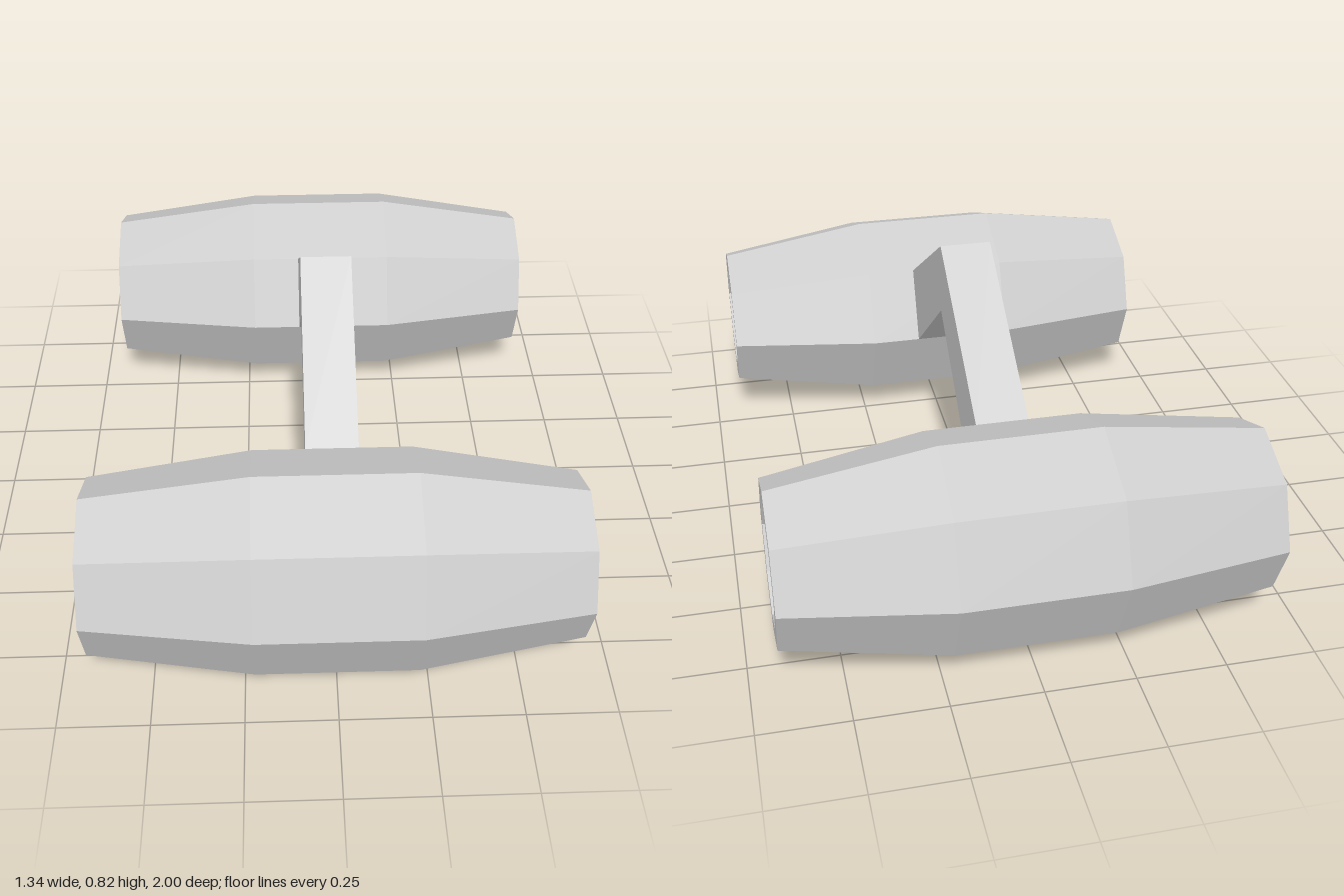
import * as THREE from 'three';

export function createModel() {
  const model = new THREE.Group();
  const material = new THREE.MeshStandardMaterial({ color: 0xcccccc, flatShading: true });

  // Eight-sided barrel with a recess in each end: [radius, position along x]
  const profile = [
    [0, -0.22], [0.175, -0.22], [0.175, -0.67], [0.237, -0.67],
    [0.3, -0.22], [0.3, 0.22],
    [0.225, 0.67], [0.172, 0.67], [0.172, 0.22], [0, 0.22],
  ].map(([r, x]) => new THREE.Vector2(r, x));
  const barrelGeometry = new THREE.LatheGeometry(profile, 8).rotateZ(-Math.PI / 2);

  for (const [name, z] of [['frontBarrel', 0.7], ['backBarrel', -0.7]]) {
    const barrel = new THREE.Mesh(barrelGeometry, material);
    barrel.name = name;
    barrel.position.set(0, 0.302, z);
    model.add(barrel);
  }

  // Bent strut meeting the upper inner facet of each barrel, drawn in (z, y)
  const outline = [
    [0, 0.615], [0.4, 0.302], [0.488, 0.514],
    [0, 0.825], [-0.488, 0.514], [-0.4, 0.302],
  ].map(([z, y]) => new THREE.Vector2(z, y));
  const width = 0.147;
  const strutGeometry = new THREE.ExtrudeGeometry(new THREE.Shape(outline), { depth: width, bevelEnabled: false })
    .translate(0, 0, -width / 2)
    .rotateY(-Math.PI / 2);
  const strut = new THREE.Mesh(strutGeometry, material);
  strut.name = 'strut';
  model.add(strut);

  return model;
}
